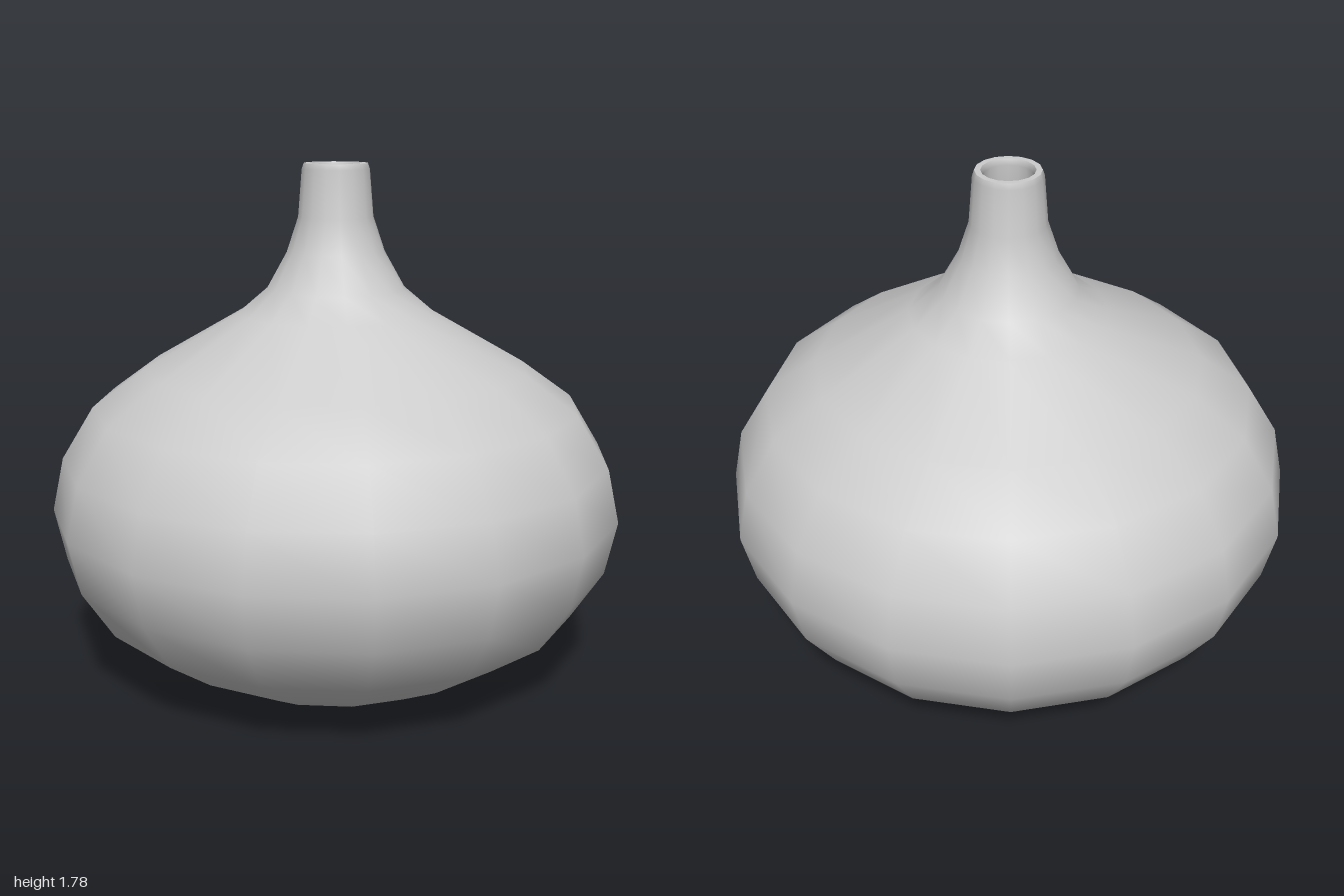
import * as THREE from 'three';

export function createModel() {
  const group = new THREE.Group();
  group.name = 'bottleVase';
  const material = new THREE.MeshStandardMaterial({ color: 0xcccccc });
  const sides = 16;

  const addLathe = (name, profile) => {
    const points = profile.map(([r, y]) => new THREE.Vector2(r, y));
    const mesh = new THREE.Mesh(new THREE.LatheGeometry(points, sides), material);
    mesh.name = name;
    group.add(mesh);
  };

  // Outer wall: flat foot, squat belly, narrow neck and rim
  addLathe('outerWall', [
    [0, 0], [0.47, 0], [0.67, 0.105], [0.85, 0.23], [0.96, 0.4],
    [1, 0.585], [0.96, 0.77], [0.85, 0.95], [0.67, 1.08], [0.34, 1.27],
    [0.24, 1.355], [0.17, 1.48], [0.13, 1.6], [0.117, 1.76], [0.11, 1.78],
  ]);

  // Flat lip joining the outer and inner walls
  addLathe('rim', [[0.11, 1.78], [0.09, 1.78]]);

  // Inner wall, running down from the mouth to the hollow floor
  addLathe('innerWall', [
    [0.09, 1.78], [0.082, 1.76], [0.095, 1.6], [0.135, 1.47], [0.21, 1.33],
    [0.32, 1.24], [0.65, 1.05], [0.82, 0.92], [0.92, 0.76], [0.96, 0.585],
    [0.92, 0.41], [0.82, 0.26], [0.65, 0.14], [0.46, 0.04], [0, 0.04],
  ]);

  return group;
}
